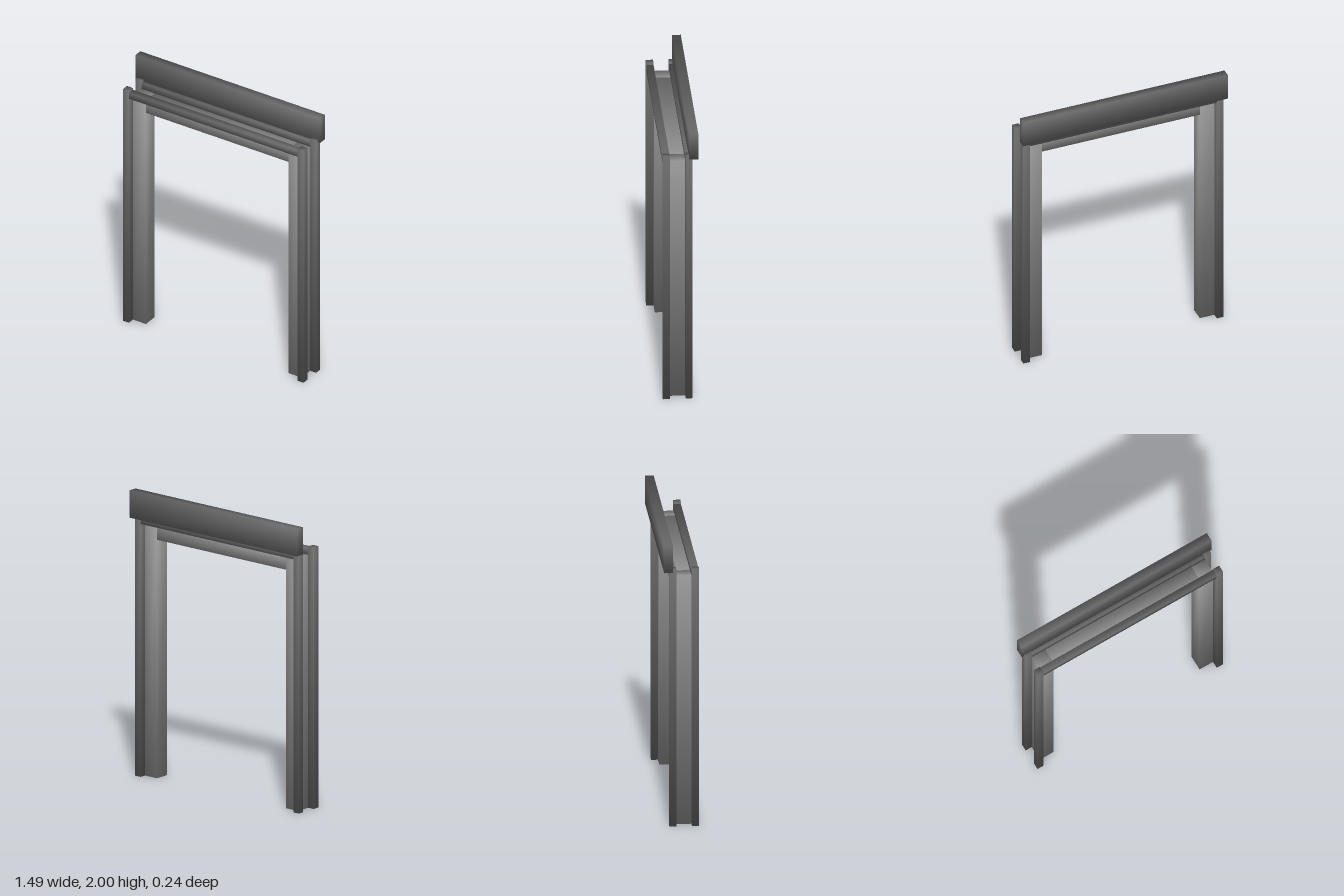
import * as THREE from 'three';

const frameMaterial = new THREE.MeshStandardMaterial({ color: 0x949494 });
const trimMaterial = new THREE.MeshStandardMaterial({ color: 0x6a6a6a });

// Beam spanning two opposite corners; each corner normal points diagonally outward for soft shading.
function beam(name, material, [x0, x1], [y0, y1], [z0, z1]) {
  const geometry = new THREE.BoxGeometry(x1 - x0, y1 - y0, z1 - z0);
  const { position, normal } = geometry.attributes;
  const corner = new THREE.Vector3();
  for (let i = 0; i < position.count; i++) {
    corner.fromBufferAttribute(position, i);
    corner.set(Math.sign(corner.x), Math.sign(corner.y), Math.sign(corner.z)).normalize();
    normal.setXYZ(i, corner.x, corner.y, corner.z);
  }
  const mesh = new THREE.Mesh(geometry, material);
  mesh.name = name;
  mesh.position.set((x0 + x1) / 2, (y0 + y1) / 2, (z0 + z1) / 2);
  return mesh;
}

export function createModel() {
  const group = new THREE.Group();
  group.name = 'doorFrame';

  const inner = 0.575, outer = 0.68, trimOuter = 0.728;
  const lintelBottom = 1.667, lintelTop = 1.768;
  const depth = [-0.037, 0.069];
  const trims = { front: [0.069, 0.118], back: [-0.083, -0.037] };

  // Jambs and the upright trims on their outer corners
  for (const [side, s] of [['left', 1], ['right', -1]]) {
    const span = (a, b) => (s > 0 ? [a, b] : [-b, -a]);
    group.add(beam(side + 'Jamb', frameMaterial, span(inner, outer), [0, lintelTop], depth));
    for (const [face, z] of Object.entries(trims)) {
      group.add(beam(`${side} ${face} trim`, trimMaterial, span(outer, trimOuter), [0, 1.828], z));
    }
  }

  // Lintel between the jambs and the horizontal trims above it
  group.add(beam('lintel', frameMaterial, [-inner, inner], [lintelBottom, lintelTop], depth));
  for (const [face, z] of Object.entries(trims)) {
    group.add(beam(face + 'TopTrim', trimMaterial, [-outer, outer], [lintelTop, 1.814], z));
  }

  // Wide board across the top of the back
  group.add(beam('headerBoard', trimMaterial, [-0.745, 0.745], [1.808, 2], [-0.12, -0.06]));
  return group;
}
